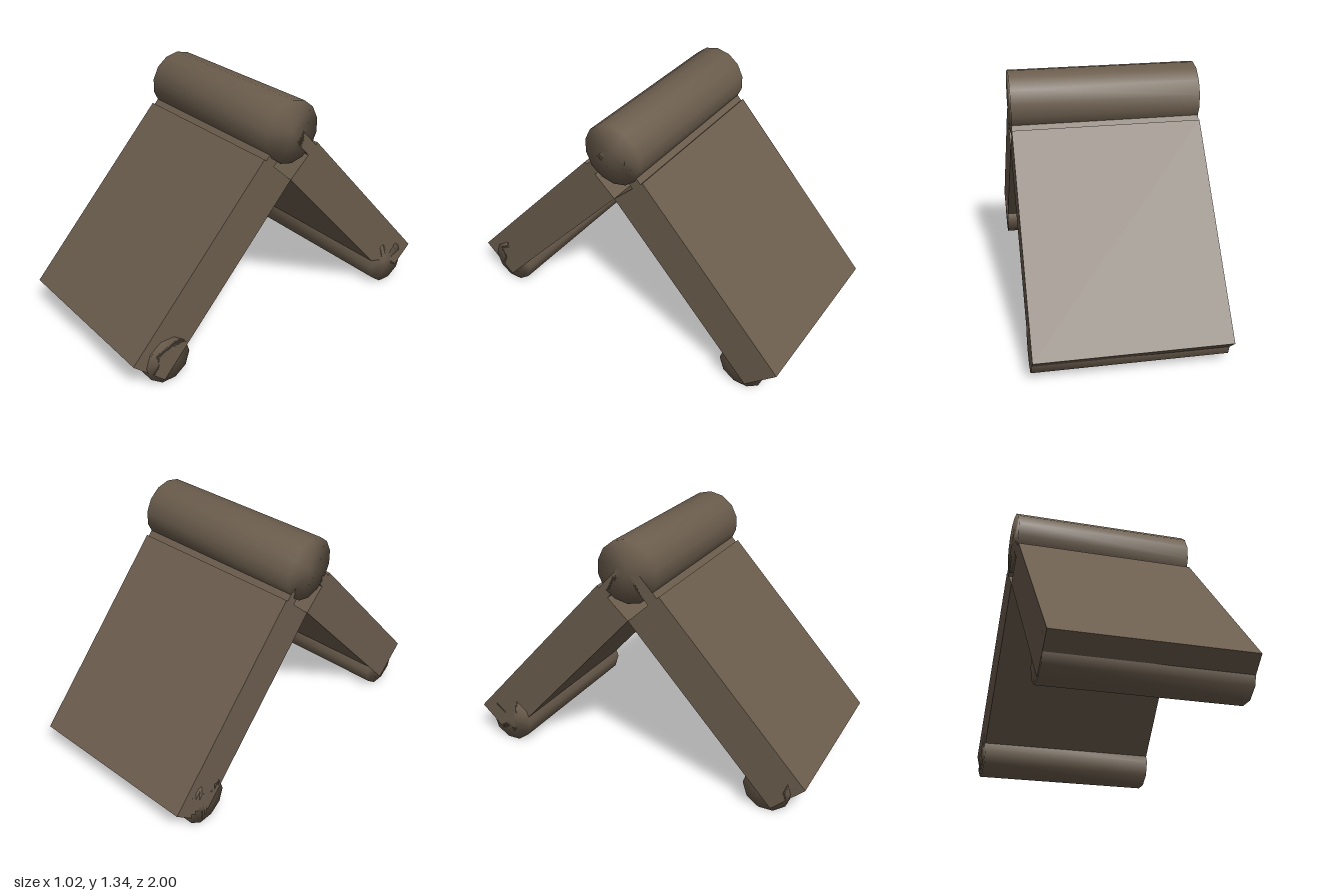
import * as THREE from 'three';
import { mergeVertices } from 'three/addons/utils/BufferGeometryUtils.js';

const WIDTH = 1.02;

// Solid bar along x from a side outline of [z, y] points
function sidePanel(points) {
  const shape = new THREE.Shape(points.map(([z, y]) => new THREE.Vector2(-z, y)));
  const geo = new THREE.ExtrudeGeometry(shape, { depth: WIDTH, bevelEnabled: false });
  return geo.translate(0, 0, -WIDTH / 2).rotateY(Math.PI / 2);
}

// Softly shaded roller along x; turn is the angle of its first corner from straight up
function roller(radius, sides, turn) {
  let geo = new THREE.CylinderGeometry(radius, radius, WIDTH, sides);
  geo.rotateZ(Math.PI / 2).rotateX(turn);
  geo.deleteAttribute('normal');
  geo.deleteAttribute('uv');
  geo = mergeVertices(geo, 1e-4);
  geo.computeVertexNormals();
  return geo;
}

export function createModel() {
  const model = new THREE.Group();
  const material = new THREE.MeshStandardMaterial({ color: 0x6b5d4d });
  const add = (parent, name, geo, y = 0, z = 0) => {
    const mesh = new THREE.Mesh(geo, material);
    mesh.name = name;
    mesh.position.set(0, y, z);
    parent.add(mesh);
  };

  // Hinge roller on top
  add(model, 'hingeRoller', roller(0.172, 14, Math.PI / 2), 1.173, 0);

  // Sloping board with a thinner tongue running into the hinge
  const board = sidePanel([
    [0.82, 0.01], [1.0, 0.172], [0.18, 1.07], [0.168, 1.059],
    [0.05, 1.188], [0.0, 1.143], [0.118, 1.014], [0.0, 0.905],
  ]);
  const foot = roller(0.131, 10, 0);

  // Front and back legs are the same, half a turn apart
  for (const [name, angle] of [['frontLeg', 0], ['backLeg', Math.PI]]) {
    const leg = new THREE.Group();
    leg.name = name;
    add(leg, name + 'Board', board);
    add(leg, name + 'FootRoller', foot, 0.125, 0.795);
    leg.rotation.y = angle;
    model.add(leg);
  }
  return model;
}
